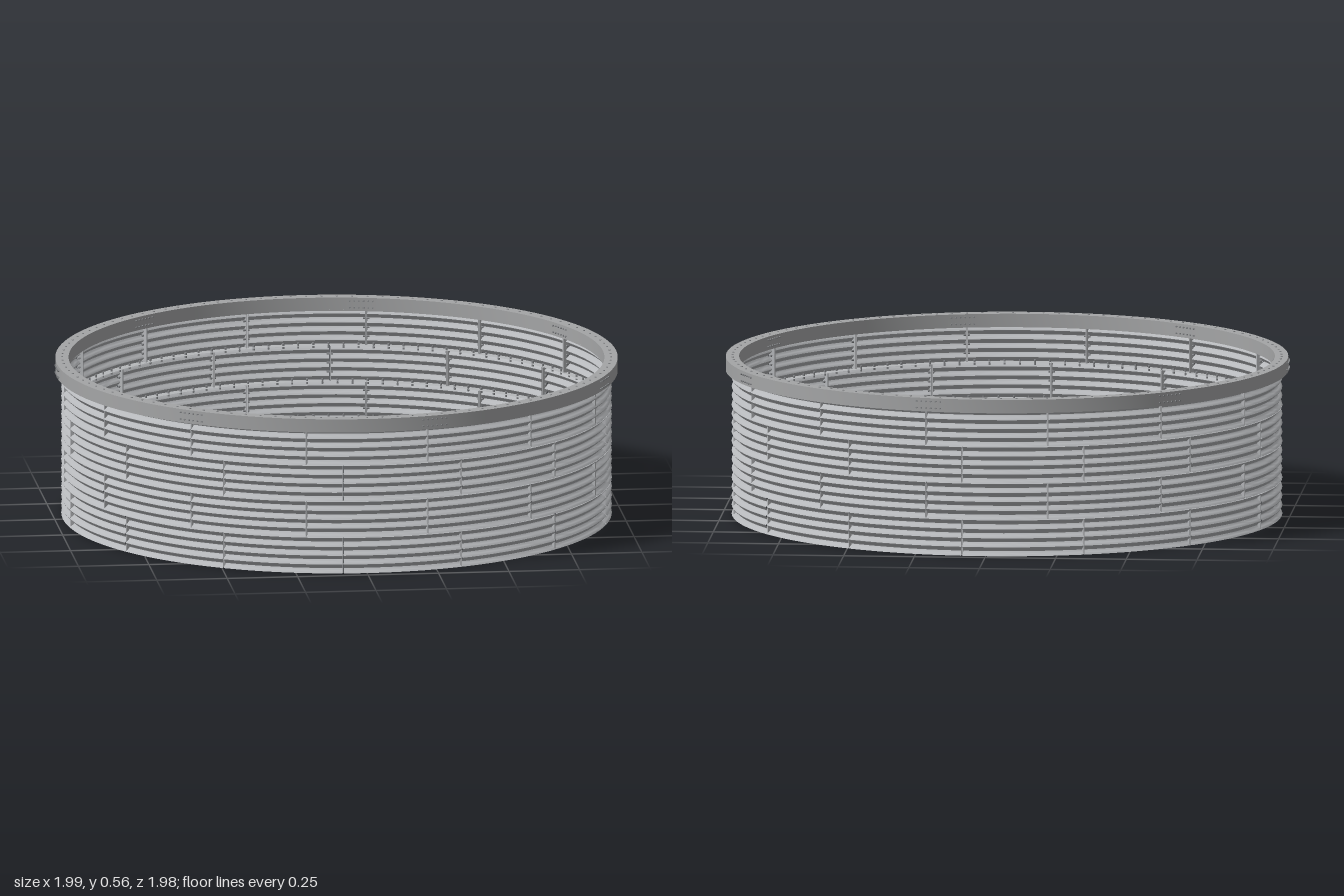
import * as THREE from 'three';
import { mergeGeometries, toCreasedNormals } from 'three/addons/utils/BufferGeometryUtils.js';

const RAD = Math.PI / 180;
const COURSES = 4, PLATES = 14, COURSE_H = 0.13;
const STEP = 360 / PLATES;
const RING_Y = COURSES * COURSE_H - 0.005, TOP = 0.565;
const R_IN = 0.945, R_OUT = 0.992;

const plateMat = new THREE.MeshStandardMaterial({ color: 0xb6b8bb, side: THREE.DoubleSide });
plateMat.name = 'galvanised plate';
const ringMat = new THREE.MeshStandardMaterial({ color: 0xa4a5a6 });
ringMat.name = 'ring steel';
const boltMat = new THREE.MeshStandardMaterial({ color: 0x8a8c8f });
boltMat.name = 'bolt steel';

function add(parent, name, geometry, material) {
  const mesh = new THREE.Mesh(geometry, material);
  mesh.name = name;
  parent.add(mesh);
  return mesh;
}

// Angles are degrees from the front (+z) towards +x
function place(geometry, angle, radius, y) {
  return geometry.translate(0, y, radius).rotateY(angle * RAD);
}

// Bolt along the 'y' (upright), 'z' (radial) or 'x' (tangential) axis
function bolt(axis, size, length, angle, radius, y) {
  const g = new THREE.CylinderGeometry(size, size, length, 6);
  if (axis === 'z') g.rotateX(Math.PI / 2);
  if (axis === 'x') g.rotateZ(Math.PI / 2);
  return place(g, angle, radius, y);
}

// Wavy cross-section of one course, with inward flanges at top and bottom
function courseProfile(y0) {
  const low = y0 + 0.001, high = y0 + COURSE_H - 0.001;
  const points = [new THREE.Vector2(R_IN, low)];
  for (let i = 0; i <= 32; i++) {
    const t = i / 32;
    const r = 0.963 + 0.008 * Math.cos(t * 4 * 2 * Math.PI);
    points.push(new THREE.Vector2(r, THREE.MathUtils.lerp(low, high, t)));
  }
  points.push(new THREE.Vector2(R_IN, high));
  return points;
}

function buildCourse(index) {
  const course = new THREE.Group();
  course.name = 'linerCourse' + (index + 1);
  const y0 = index * COURSE_H;
  const offset = index % 2 ? 13 : -5;
  const profile = courseProfile(y0);
  const gap = 0.12;
  const plates = [], endFlanges = [], bolts = [];
  for (let k = 0; k < PLATES; k++) {
    const seam = offset + k * STEP;
    plates.push(new THREE.LatheGeometry(profile, 12, (seam + gap) * RAD, (STEP - 2 * gap) * RAD));
    // Paired end flanges at each seam
    for (const side of [-1, 1]) {
      const flange = new THREE.BoxGeometry(0.002, COURSE_H - 0.004, 0.022);
      endFlanges.push(place(flange, seam + side * gap, 0.956, y0 + COURSE_H / 2));
    }
    // Seam bolts
    for (const f of [0.25, 0.5, 0.75]) {
      bolts.push(bolt('x', 0.004, 0.022, seam, 0.958, y0 + COURSE_H * f));
    }
    // Bolts through the flanges between courses
    if (index > 0) {
      for (let j = 0; j < 8; j++) {
        bolts.push(bolt('y', 0.004, 0.02, seam + (j + 0.5) * STEP / 8, 0.954, y0));
      }
    }
  }
  add(course, 'corrugatedPlates', toCreasedNormals(mergeGeometries(plates), 0.7), plateMat);
  add(course, 'endFlanges', mergeGeometries(endFlanges), plateMat);
  add(course, 'courseBolts', mergeGeometries(bolts), boltMat);
  return course;
}

function buildTopRing() {
  const ring = new THREE.Group();
  ring.name = 'topRing';
  // Hollow-looking rectangular beam
  const section = [[R_IN, RING_Y], [R_OUT, RING_Y], [R_OUT, TOP - 0.002], [R_IN, TOP - 0.002], [R_IN, RING_Y]]
    .map(([r, y]) => new THREE.Vector2(r, y));
  add(ring, 'ringBeam', toCreasedNormals(new THREE.LatheGeometry(section, 140), 0.6), ringMat);

  // Bolts along the top face
  const topBolts = [];
  for (let i = 0; i < 112; i++) {
    topBolts.push(bolt('y', 0.004, 0.004, i * 360 / 112, 0.968, TOP - 0.002));
  }
  add(ring, 'topBolts', mergeGeometries(topBolts), boltMat);

  // Splices at the seven joints: thin curved plates and two rows of bolts
  const splicePlates = [], spliceBolts = [];
  const midY = (RING_Y + TOP) / 2;
  for (let k = 0; k < 7; k++) {
    const angle = 14 + k * 360 / 7;
    for (const [radius, flip] of [[R_OUT + 0.002, false], [R_IN - 0.002, true]]) {
      const plate = new THREE.CylinderGeometry(radius, radius, 0.046, 6, 1, true, (angle - 3.2) * RAD, 6.4 * RAD);
      if (flip) {
        // Turn the inner plate to face the centre
        const idx = plate.index;
        for (let i = 0; i < idx.count; i += 3) {
          const a = idx.getX(i);
          idx.setX(i, idx.getX(i + 1));
          idx.setX(i + 1, a);
        }
        plate.computeVertexNormals();
      }
      splicePlates.push(plate.translate(0, midY, 0));
      for (let col = 0; col < 6; col++) {
        for (const dy of [-0.012, 0.012]) {
          spliceBolts.push(bolt('z', 0.003, 0.01, angle + (col - 2.5) * 1, radius, midY + dy));
        }
      }
    }
  }
  add(ring, 'splicePlates', mergeGeometries(splicePlates), ringMat);
  add(ring, 'spliceBolts', mergeGeometries(spliceBolts), boltMat);
  return ring;
}

export function createModel() {
  const model = new THREE.Group();
  model.name = 'corrugatedShaftLining';
  for (let i = 0; i < COURSES; i++) model.add(buildCourse(i));
  model.add(buildTopRing());
  return model;
}
